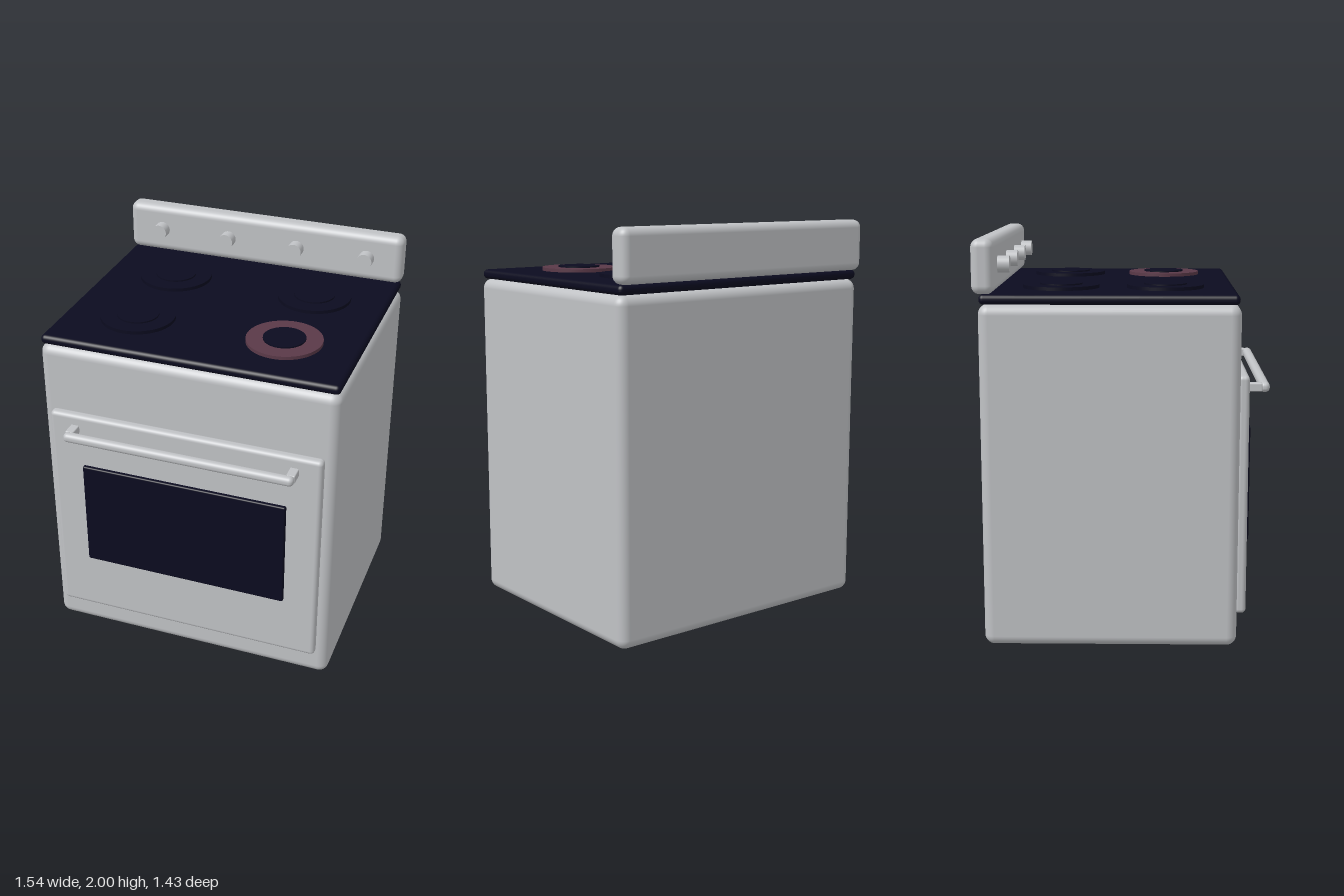
import * as THREE from 'three';
import { RoundedBoxGeometry } from 'three/addons/geometries/RoundedBoxGeometry.js';

export function createModel() {
  const model = new THREE.Group();
  model.name = 'stove';

  const material = (name, color) => {
    const m = new THREE.MeshStandardMaterial({ color });
    m.name = name;
    return m;
  };
  const steel = material('brushed steel', 0xc0c2c5);
  const glass = material('dark glass', 0x0b0b1f);
  const glow = material('warm ring', 0x5a3948);

  const add = (name, geometry, mat, x, y, z) => {
    const mesh = new THREE.Mesh(geometry, mat);
    mesh.name = name;
    mesh.position.set(x, y, z);
    model.add(mesh);
    return mesh;
  };
  // Rounded box from its extents, centred on x unless moved
  const slab = (name, mat, width, y0, y1, z0, z1, radius, x = 0) =>
    add(name, new RoundedBoxGeometry(width, y1 - y0, z1 - z0, 4, radius),
      mat, x, (y0 + y1) / 2, (z0 + z1) / 2);

  // Cabinet, cooktop and back panel
  slab('cabinet', steel, 1.54, 0, 1.693, -0.687, 0.561, 0.05);
  slab('cooktop', glass, 1.524, 1.692, 1.74, -0.68, 0.552, 0.022);
  slab('backPanel', steel, 1.54, 1.74, 2, -0.714, -0.604, 0.04);

  // Oven door with window
  slab('ovenDoor', steel, 1.424, 0.155, 1.35, 0.55, 0.607, 0.022);
  slab('ovenWindow', glass, 1.08, 0.484, 1.065, 0.59, 0.627, 0.008);

  // Handle bar on two brackets
  slab('handleBar', steel, 1.194, 1.249, 1.298, 0.665, 0.714, 0.022);
  for (const side of [-1, 1]) {
    slab('handleBracket', steel, 0.045, 1.253, 1.295, 0.6, 0.677, 0.006, side * 0.575);
  }

  // Burners: an outer disc and a slightly taller centre; the front left one is on
  for (const x of [-0.385, 0.385]) {
    for (const z of [-0.313, 0.204]) {
      const on = x > 0 && z > 0;
      add('burnerRing', new THREE.CylinderGeometry(0.19, 0.19, 0.022, 48), on ? glow : glass, x, 1.746, z);
      add('burnerCentre', new THREE.CylinderGeometry(0.106, 0.106, 0.03, 48), glass, x, 1.749, z);
    }
  }

  // Control knobs
  for (const x of [-0.579, -0.193, 0.193, 0.579]) {
    const knob = add('knob', new THREE.CylinderGeometry(0.041, 0.041, 0.064, 32), steel, x, 1.87, -0.579);
    knob.rotation.x = Math.PI / 2;
  }

  return model;
}
